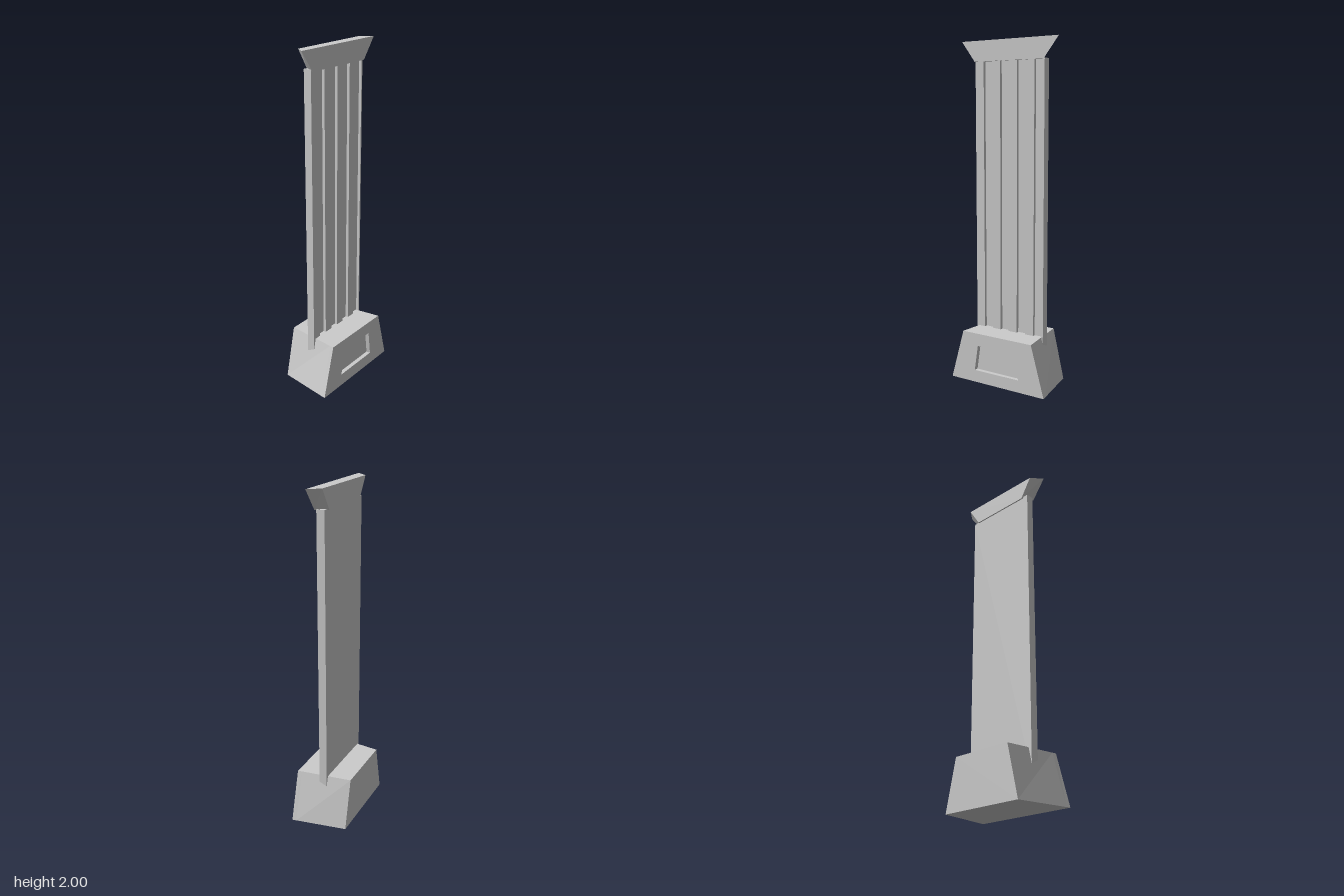
import * as THREE from 'three';

const material = new THREE.MeshStandardMaterial({ color: 0xcccccc, flatShading: true });

const toPoints = (pairs) => pairs.map(([a, b]) => new THREE.Vector2(a, b));

// Extrudes a side outline ([-z, y] pairs) from x0 to x1; z shrinks by a rule towards -x.
function taperedSlab(name, outline, x0, x1, half, hole) {
  const shape = new THREE.Shape(toPoints(outline));
  if (hole) shape.holes.push(new THREE.Path(toPoints(hole)));
  const geo = new THREE.ExtrudeGeometry(shape, { depth: x1 - x0, bevelEnabled: false });
  geo.rotateY(Math.PI / 2).translate(x0, 0, 0);
  const pos = geo.attributes.position;
  for (let i = 0; i < pos.count; i++) {
    const t = (half - pos.getX(i)) / (2 * half);
    pos.setZ(i, pos.getZ(i) * (1 - 0.17 * t));
  }
  geo.computeVertexNormals();
  const mesh = new THREE.Mesh(geo, material);
  mesh.name = name;
  return mesh;
}

// Flat pillar with ridges on its +x side, drawn as a comb-shaped plan.
function flutedShaft() {
  const back = -0.025, groove = 0.005, ridge = 0.022;
  const front = 0.233, rear = -0.229, lip = 0.008;
  const step = (front - rear - lip) / 8;
  const plan = [[back, -rear], [back, -front]];
  for (let i = 0; i < 8; i++) {
    const x = i % 2 ? groove : ridge;
    plan.push([x, -front + i * step], [x, -front + (i + 1) * step]);
  }
  plan.push([ridge, -rear - lip], [ridge, -rear]);
  const bottom = 0.15, top = 1.885;
  const geo = new THREE.ExtrudeGeometry(new THREE.Shape(toPoints(plan)), {
    depth: top - bottom, bevelEnabled: false,
  });
  geo.rotateX(-Math.PI / 2).translate(0, bottom, 0);
  const mesh = new THREE.Mesh(geo, material);
  mesh.name = 'flutedShaft';
  return mesh;
}

export function createModel() {
  const model = new THREE.Group();
  model.name = 'pilaster';

  // Pedestal: solid block plus a face layer with the recessed panel cut out
  const base = new THREE.Group();
  base.name = 'base';
  const side = [[-0.32, 0], [0.32, 0], [0.235, 0.3], [-0.235, 0.3]];
  const panel = [[-0.153, 0.073], [-0.13, 0.225], [0.13, 0.225], [0.15, 0.073]];
  base.add(
    taperedSlab('baseBlock', side, -0.165, 0.14, 0.165),
    taperedSlab('recessedPanelFace', side, 0.14, 0.165, 0.165, panel),
  );

  // Flared capital with a slightly tilted top
  const flare = [[-0.232, 1.875], [0.228, 1.88], [0.322, 2], [-0.32, 1.99]];
  const capital = taperedSlab('capital', flare, -0.033, 0.033, 0.033);

  model.add(base, flutedShaft(), capital);
  return model;
}
